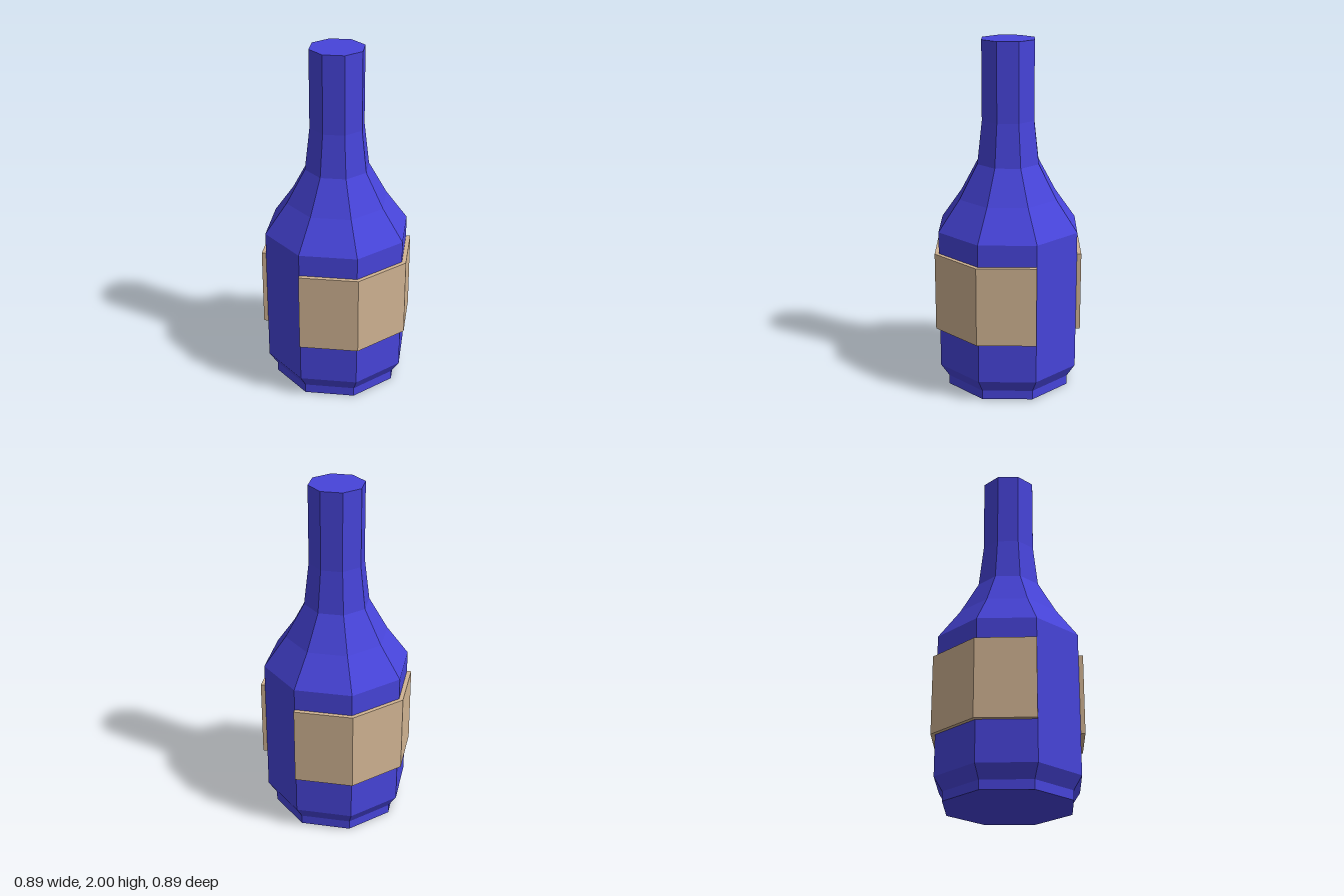
import * as THREE from 'three';

const SIDES = 8;
const BODY_RADIUS = 0.421;

// Separate the faces so that each gets its own flat normal
function faceted(geometry) {
  const flat = geometry.index ? geometry.toNonIndexed() : geometry;
  flat.computeVertexNormals();
  return flat;
}

export function createModel() {
  const group = new THREE.Group();
  group.name = 'bottle';

  const glass = new THREE.MeshStandardMaterial({ color: 0x4744da });
  glass.name = 'blue glass';
  const paper = new THREE.MeshStandardMaterial({ color: 0xd0b392 });
  paper.name = 'tan paper';

  // Eight-sided bottle: foot, body, shoulder and neck as [radius, height]
  const profile = [
    [0, 0], [0.372, 0], [0.372, 0.053], [BODY_RADIUS, 0.128], [BODY_RADIUS, 0.938],
    [0.294, 1.115], [0.186, 1.31], [0.157, 1.555], [0.157, 2], [0, 2],
  ].map(([r, y]) => new THREE.Vector2(r, y));
  const bottle = new THREE.Mesh(faceted(new THREE.LatheGeometry(profile, SIDES)), glass);
  bottle.name = 'bottleBody';
  group.add(bottle);

  // Label plate wrapping three faces, drawn in plan (shape y is -z)
  const plan = new THREE.Shape();
  const step = (Math.PI * 2) / SIDES;
  const ring = (i, r) => [r * Math.cos(i * step), r * Math.sin(i * step)];
  plan.moveTo(...ring(-2, BODY_RADIUS));
  plan.lineTo(0.01, -0.444); // square-cut end
  plan.lineTo(...ring(-1, 0.446));
  plan.lineTo(...ring(0, 0.446));
  plan.lineTo(0.321, 0.307); // square-cut end
  for (let i = 1; i > -2; i--) plan.lineTo(...ring(i, BODY_RADIUS));
  plan.closePath();

  const labelGeometry = new THREE.ExtrudeGeometry(plan, { depth: 0.453, bevelEnabled: false });
  labelGeometry.rotateX(-Math.PI / 2).translate(0, 0.36, 0);
  const labelFaces = faceted(labelGeometry);

  // The second label is the first turned half way round
  ['leftLabel', 'rightLabel'].forEach((name, i) => {
    const label = new THREE.Mesh(labelFaces, paper);
    label.name = name;
    label.rotation.y = i * Math.PI;
    group.add(label);
  });

  return group;
}
